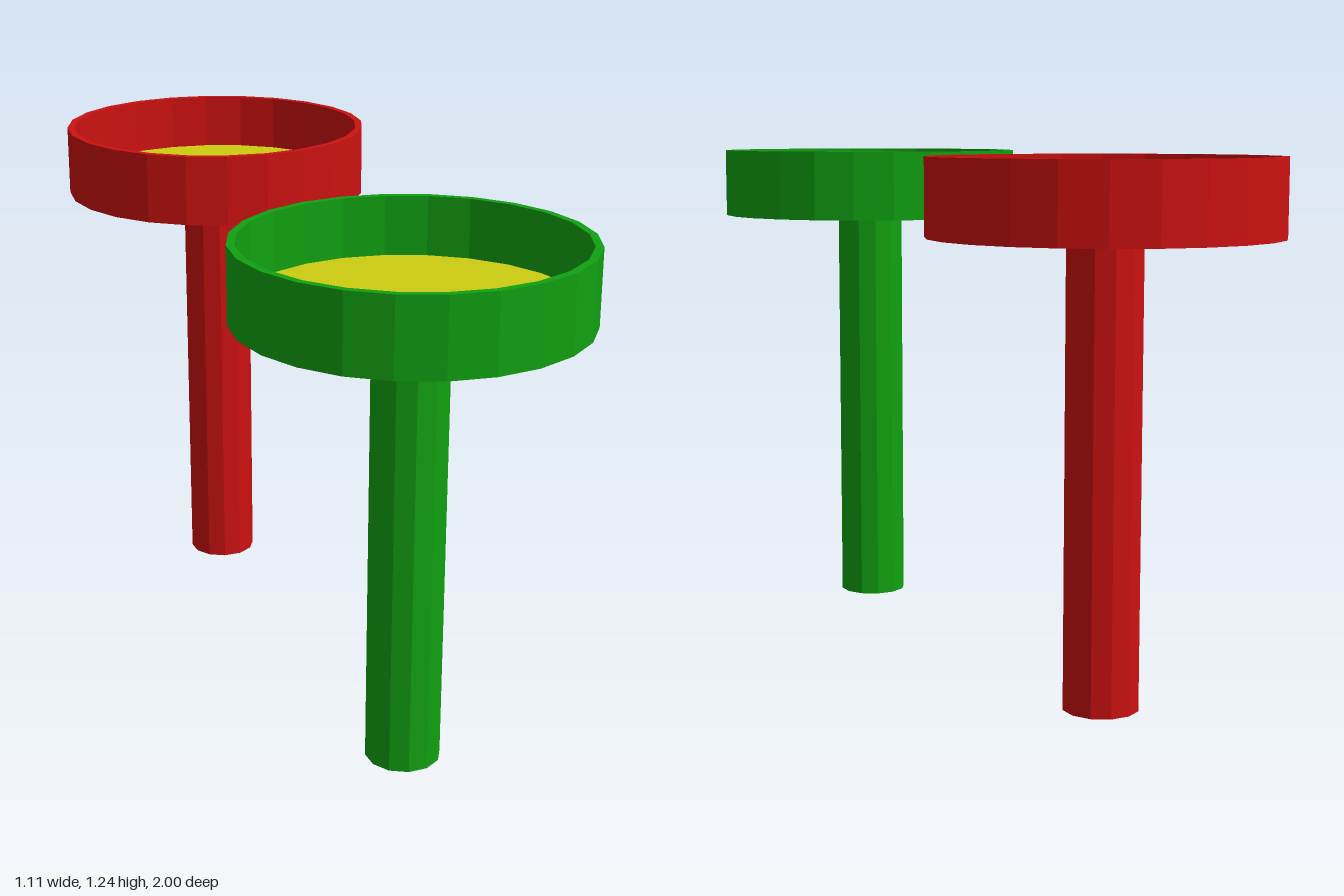
import * as THREE from 'three';

const STEM_R = 0.088, DISH_R = 0.395, WALL = 0.018;
const BASE_Y = 1.06, FLOOR_Y = 1.078, FILL_Y = 1.095, TOP_Y = 1.235;

function material(color) {
  return new THREE.MeshStandardMaterial({ color, flatShading: true });
}

function part(name, geometry, mat, y = 0) {
  const mesh = new THREE.Mesh(geometry, mat);
  mesh.name = name;
  mesh.position.y = y;
  return mesh;
}

// One round tray on a post, with a coloured disc lying inside the rim
function createStand(name, color, x, z) {
  const stand = new THREE.Group();
  stand.name = name;
  const mat = material(color);

  // post
  stand.add(part('stem', new THREE.CylinderGeometry(STEM_R, STEM_R, BASE_Y, 12), mat, BASE_Y / 2));

  // hollow dish: underside, outer wall, rim, inner wall, floor
  const inner = DISH_R - WALL;
  const profile = [
    [0, BASE_Y], [DISH_R, BASE_Y], [DISH_R, TOP_Y],
    [inner, TOP_Y], [inner, FLOOR_Y], [0, FLOOR_Y],
  ].map(([r, y]) => new THREE.Vector2(r, y));
  stand.add(part('dish', new THREE.LatheGeometry(profile, 24), mat));

  // disc filling the bottom of the dish
  const thickness = FILL_Y - FLOOR_Y;
  stand.add(part('dishFilling', new THREE.CylinderGeometry(inner, inner, thickness, 24),
    material(0xcccc11), FLOOR_Y + thickness / 2));

  stand.position.set(x, 0, z);
  return stand;
}

export function createModel() {
  const model = new THREE.Group();
  model.name = 'dishStands';
  model.add(createStand('greenStand', 0x11a011, -0.16, 0.605));
  model.add(createStand('redStand', 0xcc1111, 0.16, -0.605));
  return model;
}
